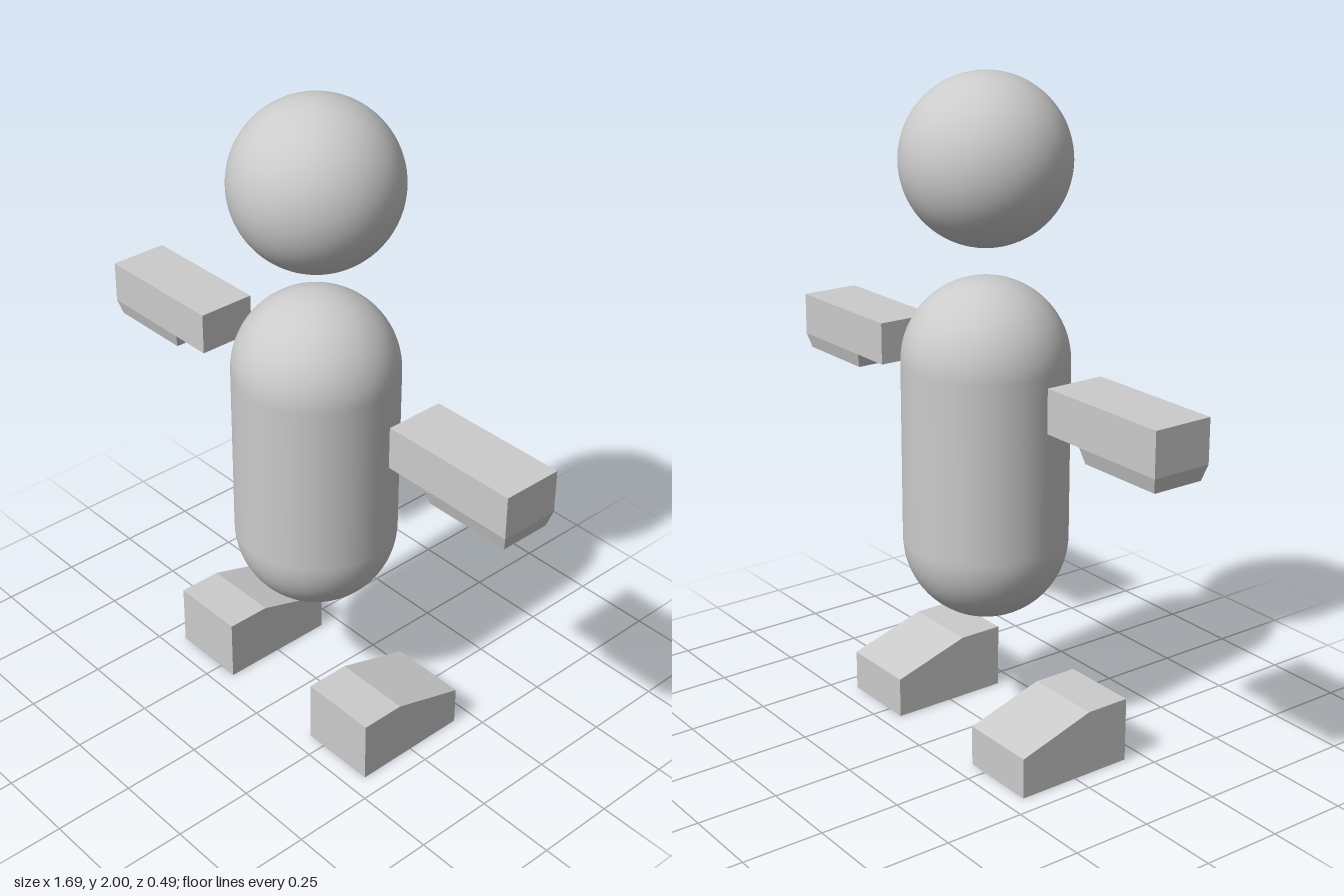
import * as THREE from 'three';

const grey = new THREE.MeshStandardMaterial({ color: 0xcccccc });
const flatGrey = new THREE.MeshStandardMaterial({ color: 0xcccccc, flatShading: true });

function addMesh(parent, name, geometry, material, x = 0, y = 0, z = 0) {
  const mesh = new THREE.Mesh(geometry, material);
  mesh.name = name;
  mesh.position.set(x, y, z);
  parent.add(mesh);
  return mesh;
}

// Box whose bottom face is drawn in on all sides
function taperedBox(w, h, d, inset) {
  const geometry = new THREE.BoxGeometry(w, h, d);
  const p = geometry.attributes.position;
  for (let i = 0; i < p.count; i++) {
    if (p.getY(i) < 0) {
      p.setX(i, p.getX(i) - Math.sign(p.getX(i)) * inset);
      p.setZ(i, p.getZ(i) - Math.sign(p.getZ(i)) * inset);
    }
  }
  geometry.computeVertexNormals();
  return geometry;
}

// Foot: side profile (z, y) swept across its width, sloping down to the back
function footGeometry(width) {
  const profile = new THREE.Shape([
    [0.19, 0], [0.19, 0.2], [0.05, 0.2], [-0.19, 0.125], [-0.19, 0],
  ].map(([z, y]) => new THREE.Vector2(-z, y)));
  const geometry = new THREE.ExtrudeGeometry(profile, { depth: width, bevelEnabled: false });
  geometry.translate(0, 0, -width / 2);
  geometry.rotateY(Math.PI / 2);
  return geometry;
}

export function createModel() {
  const model = new THREE.Group();
  model.name = 'figure';

  // Floating head and pill-shaped body
  addMesh(model, 'head', new THREE.SphereGeometry(0.247, 64, 40), grey, 0, 1.753, 0);
  addMesh(model, 'body', new THREE.CapsuleGeometry(0.247, 0.541, 20, 64), grey, 0, 0.898, 0);

  for (const [side, s] of [['left', 1], ['right', -1]]) {
    // Arm block with a tapered pad under its outer end
    const arm = new THREE.Group();
    arm.name = `${side}Arm`;
    addMesh(arm, `${side}ArmBlock`, new THREE.BoxGeometry(0.438, 0.13, 0.186), flatGrey, s * 0.624, 1.137, 0);
    addMesh(arm, `${side}ArmPad`, taperedBox(0.303, 0.046, 0.186, 0.013), flatGrey, s * 0.6915, 1.049, 0);
    model.add(arm);

    // Wedge foot
    addMesh(model, `${side}Foot`, footGeometry(0.247), flatGrey, s * 0.312, 0, 0);
  }
  return model;
}
